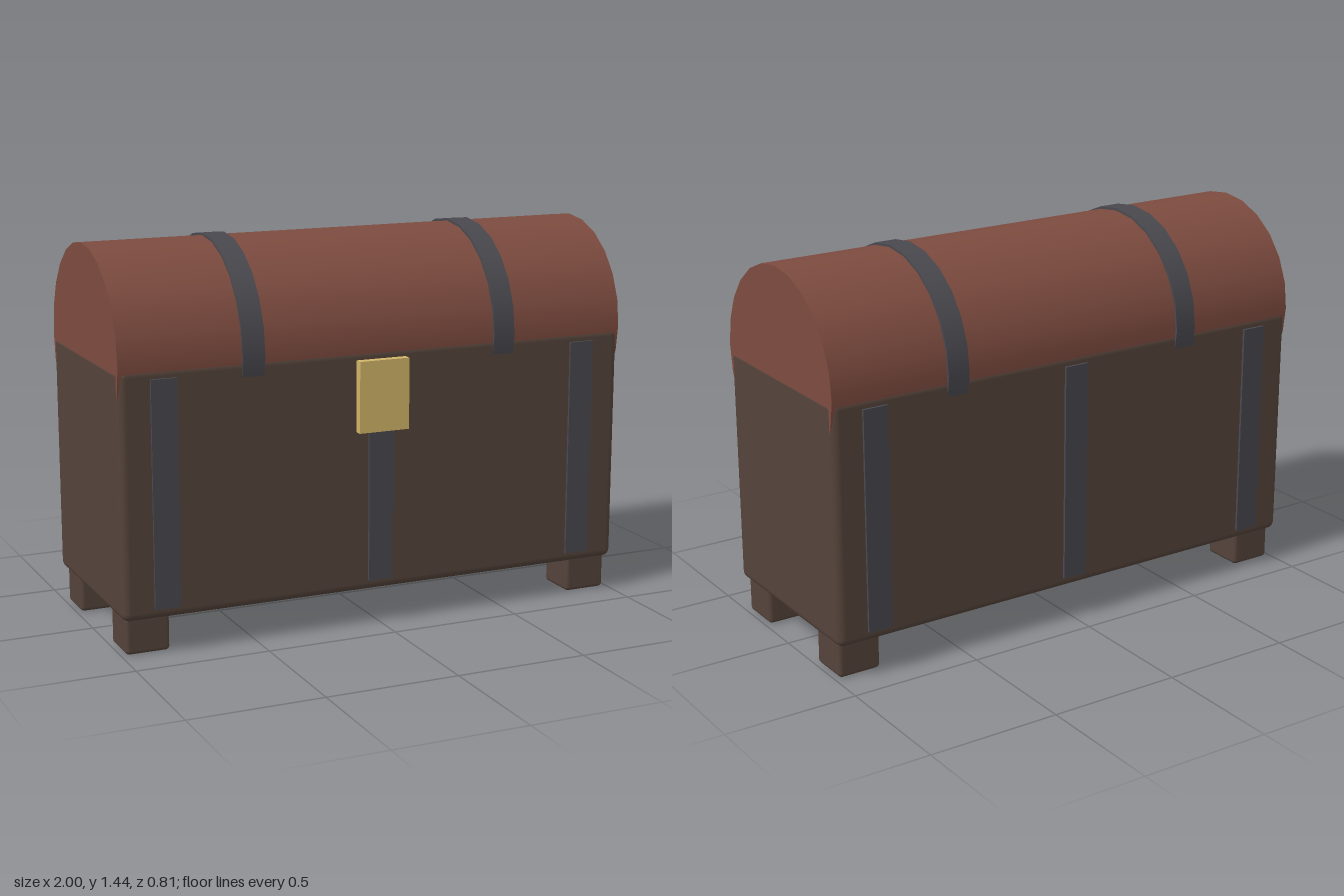
import * as THREE from 'three';
import { RoundedBoxGeometry } from 'three/addons/geometries/RoundedBoxGeometry.js';

const paint = (color) => new THREE.MeshStandardMaterial({ color });

export function createModel() {
  const chest = new THREE.Group();
  chest.name = 'chest';
  const wood = paint(0x54433a);
  const lidWood = paint(0x7d4b3f);
  const iron = paint(0x48484e);
  const brass = paint(0xd0b468);

  const add = (name, geometry, material, x, y, z) => {
    const mesh = new THREE.Mesh(geometry, material);
    mesh.name = name;
    mesh.position.set(x, y, z);
    chest.add(mesh);
    return mesh;
  };
  // Barrel lying along x, with a vertex straight up
  const barrel = (radius, length) =>
    new THREE.CylinderGeometry(radius, radius, length, 24).rotateZ(Math.PI / 2);

  const midZ = -0.01;

  // Box body with softly rounded edges
  add('body', new RoundedBoxGeometry(2, 0.91, 0.765, 3, 0.03), wood, 0, 0.585, midZ);

  // Barrel lid, its lower half sunk into the body
  add('lid', barrel(0.383, 1.998), lidWood, 0, 1.05, midZ);

  // Iron bands over the lid
  for (const side of [-1, 1]) {
    add('lidBand', barrel(0.392, 0.085), iron, side * 0.5, 1.05, midZ);
  }

  // Upright iron straps on front and back
  for (const x of [-0.835, -0.003, 0.835]) {
    for (const z of [0.37, -0.39]) {
      add('strap', new THREE.BoxGeometry(0.097, 0.83, 0.024), iron, x, 0.585, z);
    }
  }

  // Lock plate
  add('lockPlate', new THREE.BoxGeometry(0.197, 0.265, 0.05), brass, -0.002, 0.87, 0.38);

  // Feet
  for (const x of [-0.9, 0.9]) {
    for (const z of [0.26, -0.277]) {
      add('foot', new RoundedBoxGeometry(0.165, 0.14, 0.165, 2, 0.015), wood, x, 0.07, z);
    }
  }
  return chest;
}
